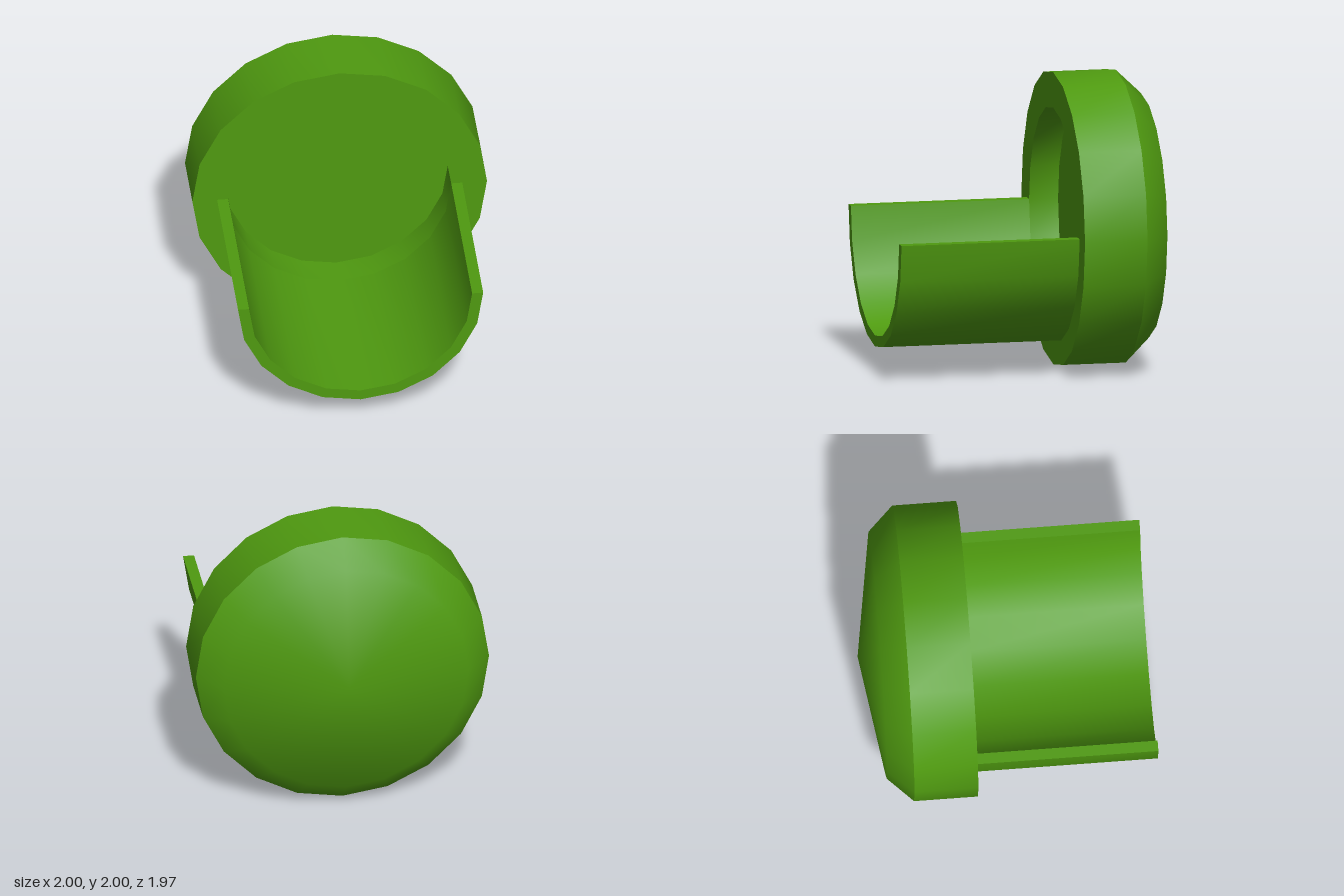
import * as THREE from 'three';
import { toCreasedNormals } from 'three/addons/utils/BufferGeometryUtils.js';

const SIDES = 20;
const INNER = 0.757;   // bore radius shared by head recess and trough
const OUTER = 0.832;   // trough outer radius
const BACK = -0.245;   // front face of the head
const FRONT = 0.985;   // open end of the trough

export function createModel() {
  const model = new THREE.Group();
  const green = new THREE.MeshStandardMaterial({ color: 0x4f9a10 });

  function add(name, geometry) {
    const mesh = new THREE.Mesh(toCreasedNormals(geometry, 0.72), green);
    mesh.name = name;
    mesh.position.y = 1;
    model.add(mesh);
  }

  // Head: shallow cone, chamfer, rim and recessed front, as (radius, z)
  const profile = [
    [0, -0.985], [0.835, -0.85], [1, -0.677], [1, BACK],
    [INNER, BACK], [INNER, -0.445], [0, -0.445],
  ].map(([r, z]) => new THREE.Vector2(r, z));
  add('head', new THREE.LatheGeometry(profile, SIDES).rotateX(Math.PI / 2));

  // Trough: lower half of a tube, cut off level with the axis
  const arc = (radius) => Array.from({ length: SIDES / 2 + 1 }, (_, i) => {
    const a = Math.PI + (i / SIDES) * Math.PI * 2;
    return new THREE.Vector2(radius * Math.cos(a), radius * Math.sin(a));
  });
  const section = new THREE.Shape([...arc(OUTER), ...arc(INNER).reverse()]);
  add('trough', new THREE.ExtrudeGeometry(section, {
    depth: FRONT - BACK, bevelEnabled: false,
  }).translate(0, 0, BACK));

  return model;
}
